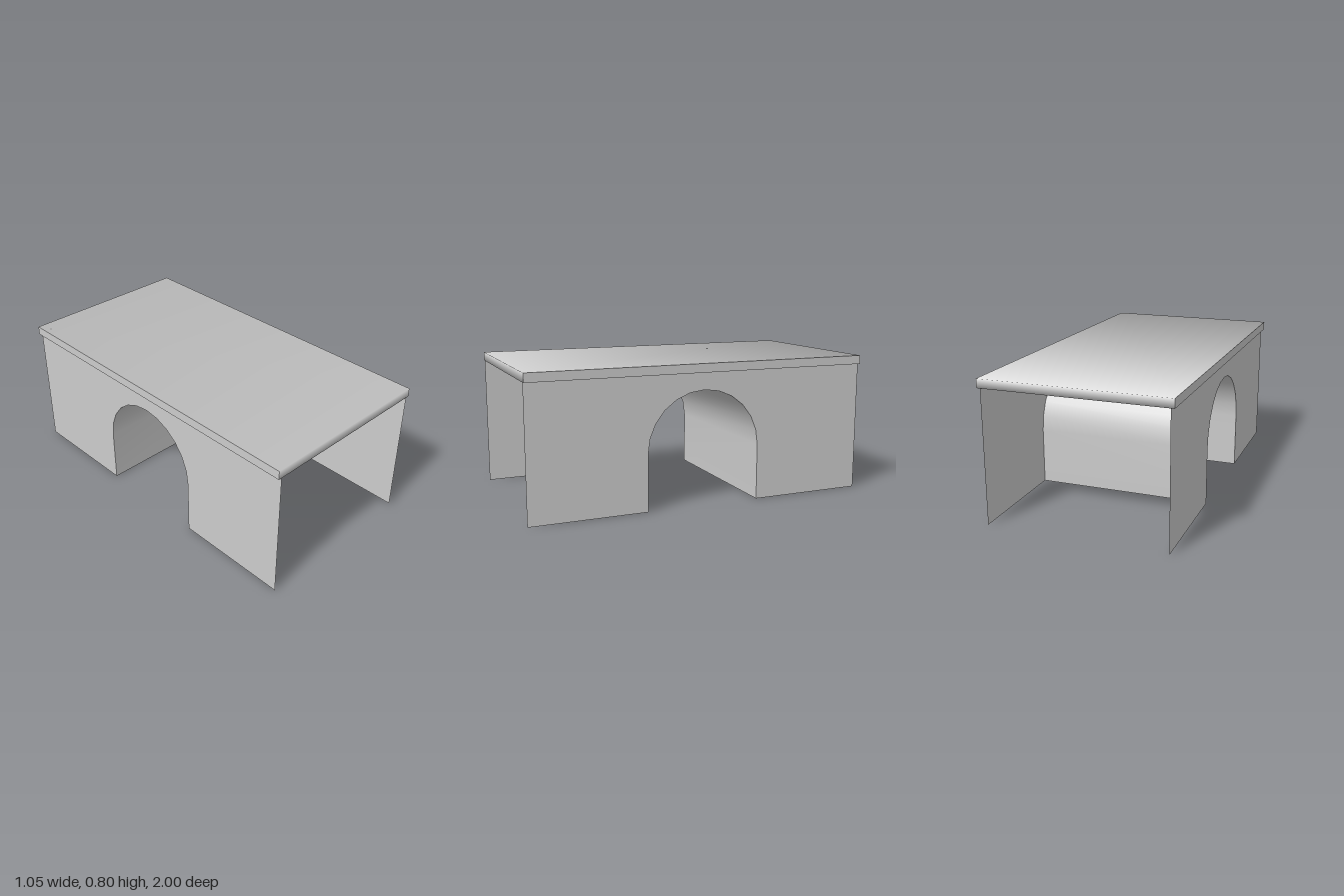
import * as THREE from 'three';

const HALF_WIDTH = 0.505;   // side walls
const DECK_HALF = 0.525;    // deck overhangs the walls slightly
const DECK_BOTTOM = 0.75;
const DECK_TOP = 0.8;
const ARCH_R = 0.333;
const SPRING_Y = 0.32;
const ARCH_SEGMENTS = 12;

// Arch outline as (z, y) points: up one leg, over the curve, down the other
function archProfile() {
  const points = [new THREE.Vector2(ARCH_R, 0)];
  for (let i = 0; i <= ARCH_SEGMENTS; i++) {
    const a = (i / ARCH_SEGMENTS) * Math.PI;
    points.push(new THREE.Vector2(ARCH_R * Math.cos(a), SPRING_Y + ARCH_R * Math.sin(a)));
  }
  points.push(new THREE.Vector2(-ARCH_R, 0));
  return points;
}

// Thin wall with the arch cut up from its base
function wallGeometry() {
  const shape = new THREE.Shape([
    new THREE.Vector2(-1, 0),
    new THREE.Vector2(-1, DECK_BOTTOM),
    new THREE.Vector2(1, DECK_BOTTOM),
    new THREE.Vector2(1, 0),
    ...archProfile(),
  ]);
  return new THREE.ShapeGeometry(shape).rotateY(-Math.PI / 2);
}

// Open tunnel lining: a plane bent along the arch outline
function tunnelGeometry() {
  const profile = archProfile();
  const geometry = new THREE.PlaneGeometry(HALF_WIDTH * 2, 1, 1, profile.length - 1);
  const pos = geometry.attributes.position;
  for (let i = 0; i < pos.count; i++) {
    const p = profile[Math.floor(i / 2)];
    pos.setXYZ(i, pos.getX(i), p.y, p.x);
  }
  geometry.computeVertexNormals();
  return geometry;
}

// Slab from a four-sided prism, keeping its soft normals around the long edges
function deckGeometry() {
  const geometry = new THREE.CylinderGeometry(Math.SQRT2, Math.SQRT2, 2, 4)
    .rotateY(Math.PI / 4)
    .rotateZ(Math.PI / 2);
  const pos = geometry.attributes.position;
  const midY = (DECK_TOP + DECK_BOTTOM) / 2;
  const halfY = (DECK_TOP - DECK_BOTTOM) / 2;
  for (let i = 0; i < pos.count; i++) {
    pos.setXYZ(i, pos.getX(i) * DECK_HALF, midY + pos.getY(i) * halfY, pos.getZ(i));
  }
  return geometry;
}

export function createModel() {
  const group = new THREE.Group();
  group.name = 'archBridge';
  const grey = new THREE.MeshStandardMaterial({ color: 0xcccccc, side: THREE.DoubleSide });
  grey.name = 'lightGrey';

  const add = (name, geometry, x = 0) => {
    const mesh = new THREE.Mesh(geometry, grey);
    mesh.name = name;
    mesh.position.x = x;
    group.add(mesh);
  };

  add('deck', deckGeometry());
  add('tunnelLining', tunnelGeometry());
  add('leftWall', wallGeometry(), HALF_WIDTH);
  add('rightWall', wallGeometry(), -HALF_WIDTH);
  return group;
}
